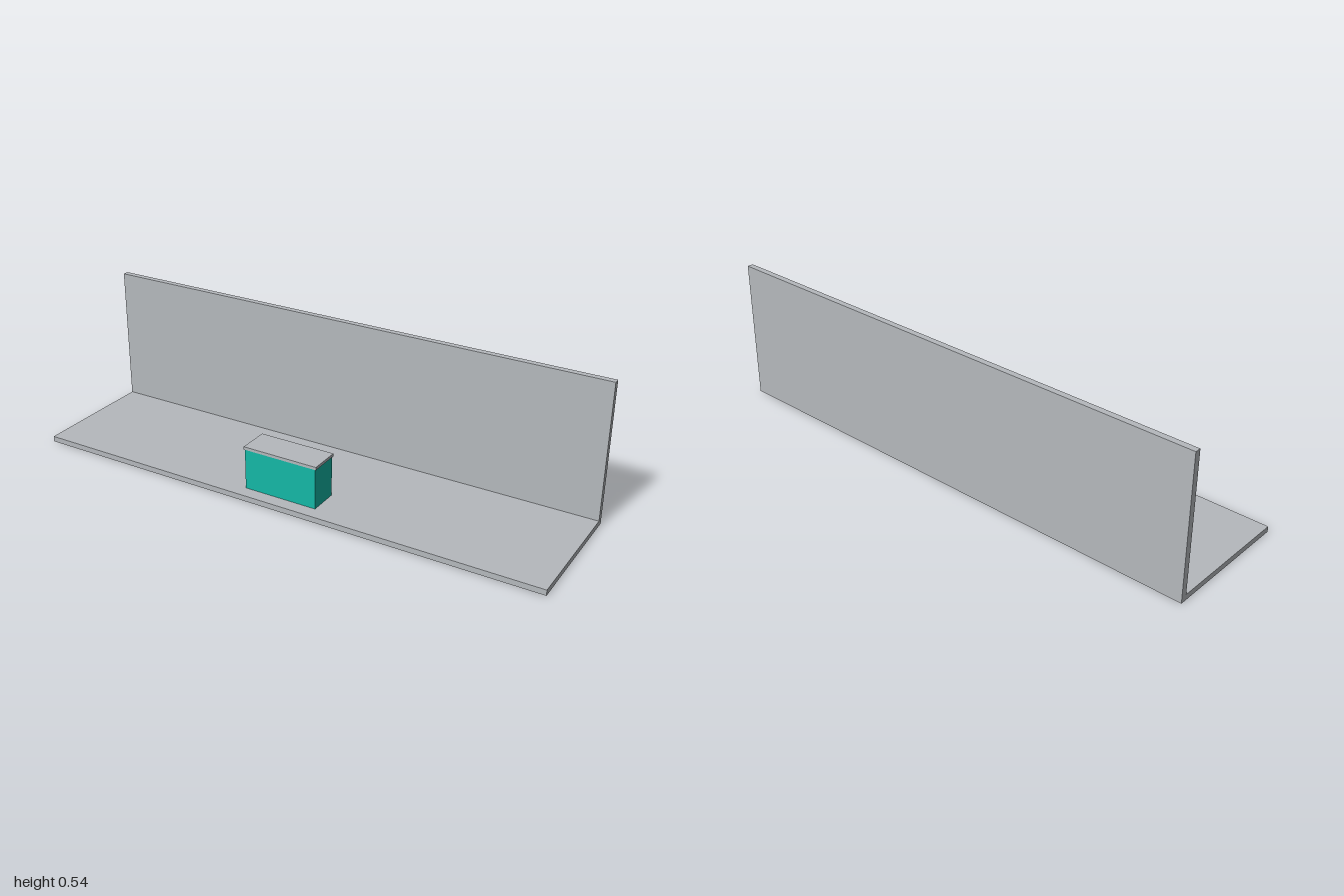
import * as THREE from 'three';

const grey = new THREE.MeshStandardMaterial({ color: 0xb5b9bd });
grey.name = 'grey';
const teal = new THREE.MeshStandardMaterial({ color: 0x14b8a6 });
teal.name = 'teal';

// Box given by its lower and upper corners
function block(name, material, [x0, y0, z0], [x1, y1, z1]) {
  const mesh = new THREE.Mesh(new THREE.BoxGeometry(x1 - x0, y1 - y0, z1 - z0), material);
  mesh.position.set((x0 + x1) / 2, (y0 + y1) / 2, (z0 + z1) / 2);
  mesh.name = name;
  return mesh;
}

export function createModel() {
  const model = new THREE.Group();
  model.name = 'counterDisplay';

  // Floor and back wall as one L-shaped profile, drawn as (-z, y) and run along x
  const profile = new THREE.Shape([
    [-0.25, 0], [0.25, 0], [0.25, 0.535], [0.227, 0.535], [0.227, 0.021], [-0.25, 0.021],
  ].map(([a, b]) => new THREE.Vector2(a, b)));
  const shell = new THREE.ExtrudeGeometry(profile, { depth: 2, bevelEnabled: false });
  shell.translate(0, 0, -1).rotateY(Math.PI / 2);
  const floorAndWall = new THREE.Mesh(shell, grey);
  floorAndWall.name = 'floorAndBackWall';
  model.add(floorAndWall);

  // Counter with its overhanging top
  model.add(block('counterBody', teal, [-0.145, 0.01, 0.087], [0.14, 0.174, 0.2]));
  model.add(block('counterTop', grey, [-0.149, 0.174, 0.084], [0.144, 0.185, 0.202]));

  // Small plate under the floor, below the counter's front corner
  model.add(block('undersidePlate', teal, [0.04, -0.0008, 0.165], [0.14, 0.002, 0.2]));

  return model;
}
